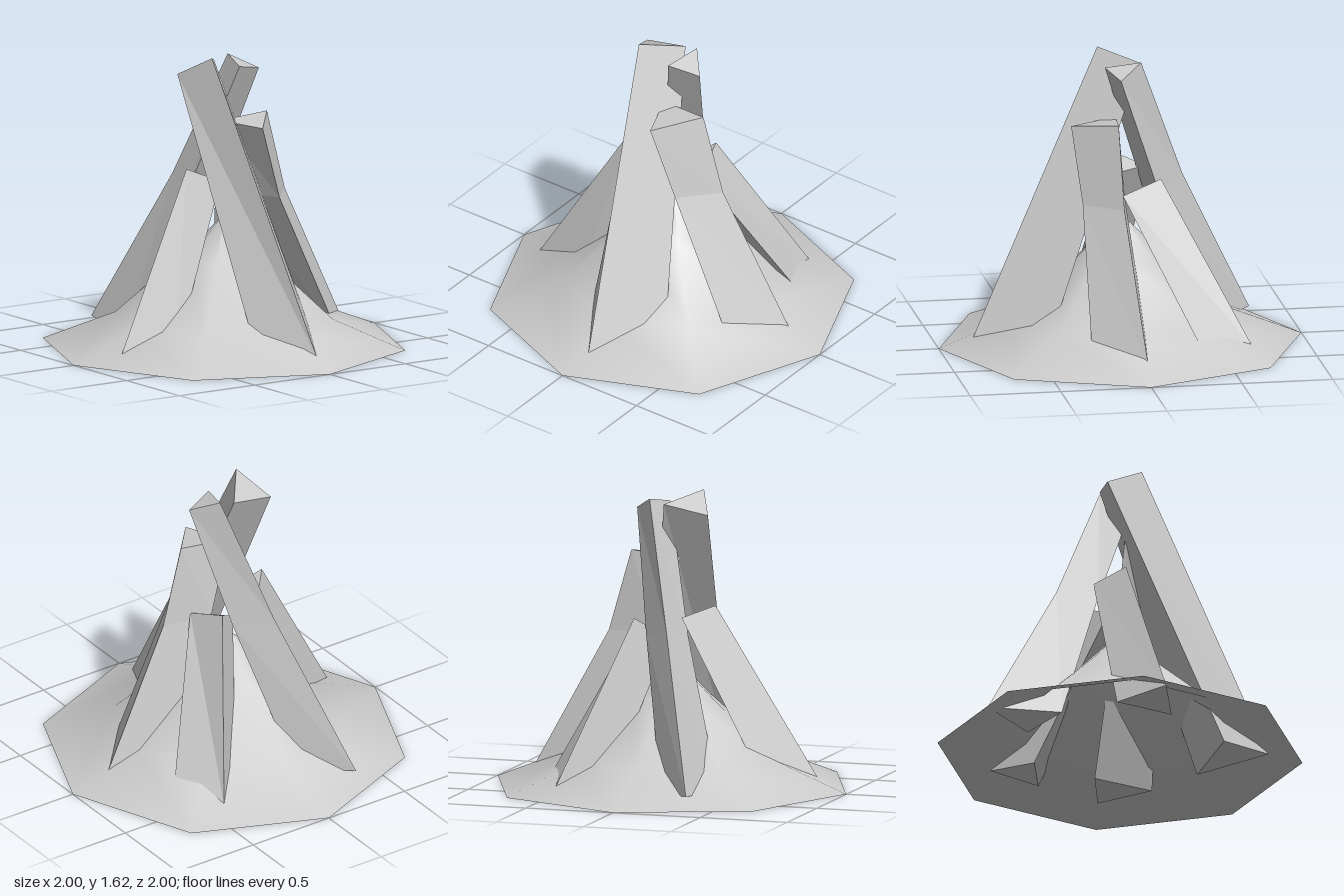
import * as THREE from 'three';

const grey = (opts = {}) => new THREE.MeshStandardMaterial({ color: 0xcccccc, ...opts });

// Three-sided log skinned through triangular rings, listed top to bottom,
// each ring running anticlockwise when seen from above.
function makeLog(name, rings) {
  const pos = [];
  const tri = (a, b, c) => pos.push(...a, ...b, ...c);
  const last = rings[rings.length - 1];
  tri(...rings[0]);
  tri(last[2], last[1], last[0]);
  for (let k = 0; k + 1 < rings.length; k++) {
    const up = rings[k], low = rings[k + 1];
    for (let i = 0; i < 3; i++) {
      const j = (i + 1) % 3;
      tri(up[i], low[i], low[j]);
      tri(up[i], low[j], up[j]);
    }
  }
  const geo = new THREE.BufferGeometry();
  geo.setAttribute('position', new THREE.Float32BufferAttribute(pos, 3));
  geo.computeVertexNormals();
  const mesh = new THREE.Mesh(geo, grey({ flatShading: true }));
  mesh.name = name;
  return mesh;
}

export function createModel() {
  const group = new THREE.Group();
  group.name = 'campfire';

  // Eight-sided ash mound, smooth and open underneath
  const profile = [[1, 0], [0.6, 0.16], [0.23, 0.49], [0, 0.72]].map(p => new THREE.Vector2(...p));
  const mound = new THREE.Mesh(new THREE.LatheGeometry(profile, 8), grey({ side: THREE.DoubleSide }));
  mound.name = 'ashMound';
  group.add(mound);

  // Leaning logs, thicker at the foot, some slightly bent
  const logs = {
    frontLog: [
      [[-0.24, 1.51, -0.10], [-0.15, 1.62, 0.10], [0.01, 1.56, -0.11]],
      [[-0.16, 0.03, 0.55], [0.04, 0.06, 0.82], [0.29, 0.03, 0.46]],
    ],
    leftLog: [
      [[0.06, 1.235, 0.28], [0.25, 1.275, 0.05], [-0.04, 1.25, 0.02]],
      [[0.20, 0.83, 0.24], [0.375, 0.83, 0.04], [0.09, 0.83, -0.01]],
      [[0.57, 0.05, 0.25], [0.79, 0.06, -0.02], [0.45, 0.05, -0.08]],
    ],
    backLog: [
      [[0.04, 1.55, 0.09], [0.21, 1.515, 0.03], [0.095, 1.585, -0.10]],
      [[-0.14, 0.85, -0.14], [0.08, 0.85, -0.20], [-0.09, 0.90, -0.36]],
      [[-0.39, 0.04, -0.37], [-0.11, 0.04, -0.52], [-0.34, 0.07, -0.77]],
    ],
    backLeftLog: [
      [[0.15, 0.94, -0.20], [-0.01, 0.82, -0.07], [0.21, 0.87, 0.02]],
      [[0.45, 0.06, -0.65], [0.23, 0.02, -0.44], [0.59, 0.05, -0.37]],
    ],
    rightLog: [
      [[-0.25, 1.0, 0], [-0.055, 0.92, 0.045], [-0.11, 0.95, -0.16]],
      [[-0.79, 0.05, 0.15], [-0.48, 0.02, 0.22], [-0.56, 0.04, -0.09]],
    ],
  };
  for (const [name, rings] of Object.entries(logs)) group.add(makeLog(name, rings));

  return group;
}
